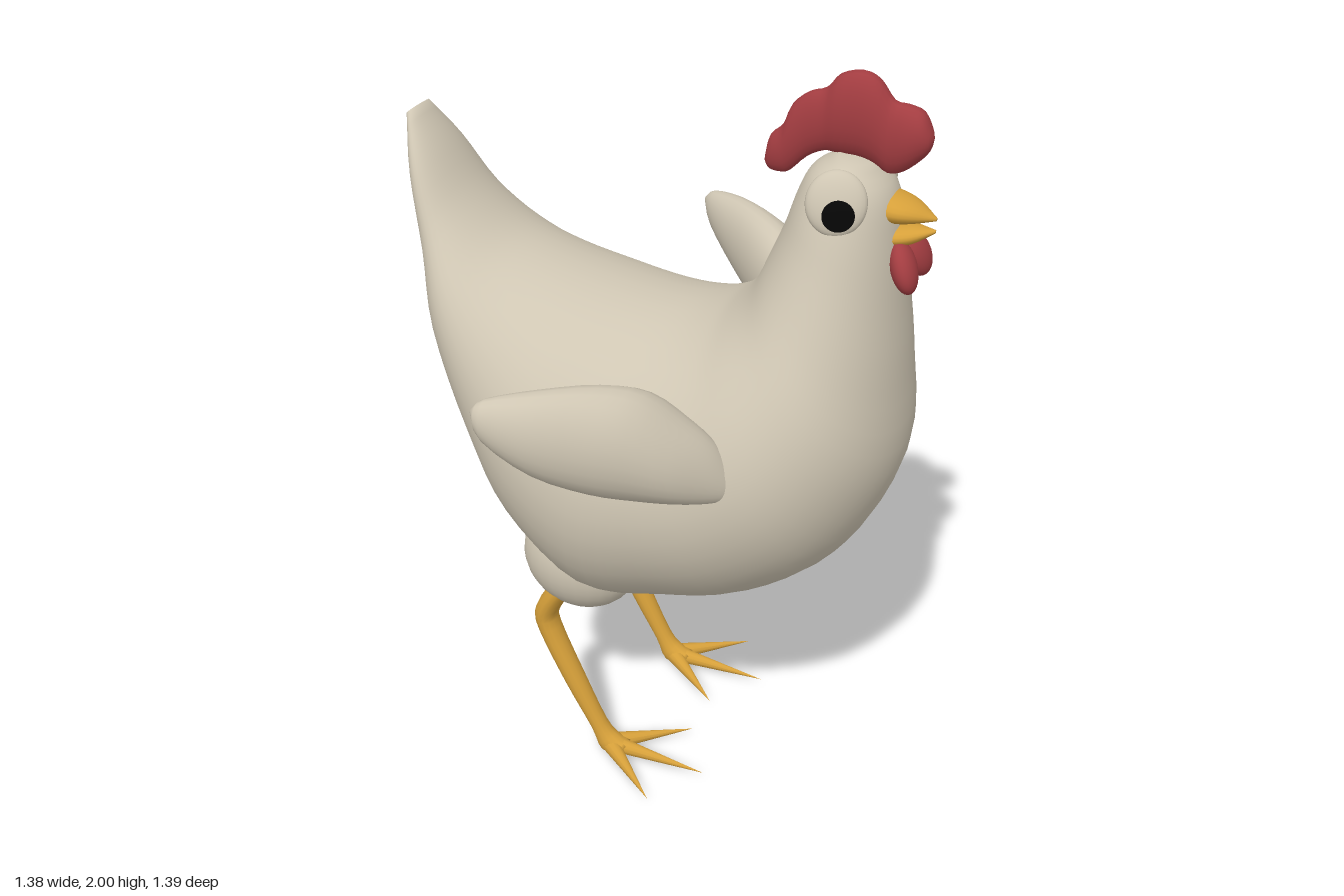
import * as THREE from 'three';

const mat = (name, color) => Object.assign(new THREE.MeshStandardMaterial({ color }), { name });

// Smooth loft through oval rings. Each ring: [ax, ay, bx, by, halfWidth, zCentre],
// where a and b are the two ends of the oval in the xy plane.
function loft(rings, steps = 3, sides = 28) {
  const A = new THREE.CatmullRomCurve3(rings.map(r => new THREE.Vector3(r[0], r[1], r[4])), false, 'catmullrom', 0.5);
  const B = new THREE.CatmullRomCurve3(rings.map(r => new THREE.Vector3(r[2], r[3], r[5] || 0)), false, 'catmullrom', 0.5);
  const n = (rings.length - 1) * steps, pos = [], idx = [], ends = [];
  for (let i = 0; i <= n; i++) {
    const a = A.getPoint(i / n), b = B.getPoint(i / n);
    const cx = (a.x + b.x) / 2, cy = (a.y + b.y) / 2;
    for (let j = 0; j < sides; j++) {
      const t = j / sides * Math.PI * 2, c = Math.cos(t);
      pos.push(cx + (a.x - cx) * c, cy + (a.y - cy) * c, b.z + a.z * Math.sin(t));
    }
    if (i === 0 || i === n) ends.push([cx, cy, b.z]);
  }
  const first = (n + 1) * sides, last = first + 1;
  pos.push(...ends[0], ...ends[1]);
  for (let j = 0; j < sides; j++) {
    const k = (j + 1) % sides;
    for (let i = 0; i < n; i++) {
      const p = i * sides, q = p + sides;
      idx.push(p + j, p + k, q + k, p + j, q + k, q + j);
    }
    idx.push(first, k, j, last, n * sides + j, n * sides + k);
  }
  const g = new THREE.BufferGeometry();
  g.setAttribute('position', new THREE.Float32BufferAttribute(pos, 3));
  g.setIndex(idx);
  g.computeVertexNormals();
  return g;
}

// Ring for parts that run along x: top, bottom, half width, z centre
const slice = (x, top, bottom, w, z = 0) => [x, top, x, bottom, w, z];

export function createModel() {
  const model = new THREE.Group();
  model.name = 'hen';
  const feather = mat('cream feathers', 0xcfc6b3);
  const red = mat('red comb', 0xa33d41);
  const yellow = mat('yellow beak and legs', 0xd6a03a);
  const black = mat('black pupil', 0x060606);

  const add = (name, geometry, material, parent = model) => {
    const m = new THREE.Mesh(geometry, material);
    m.name = name;
    parent.add(m);
    return m;
  };
  const blob = (name, material, p, r, parent) => {
    const m = add(name, new THREE.SphereGeometry(1, 28, 18), material, parent);
    m.position.set(...p);
    m.scale.set(...r);
    return m;
  };

  // Body from the tail tip, round the belly, up to the crown of the head
  add('body', loft([
    [-0.665, 1.757, -0.69, 1.735, 0.05],
    [-0.60, 1.67, -0.665, 1.58, 0.12],
    [-0.52, 1.55, -0.62, 1.38, 0.18],
    [-0.42, 1.46, -0.575, 1.17, 0.26],
    [-0.30, 1.415, -0.46, 0.88, 0.33],
    [-0.15, 1.38, -0.33, 0.67, 0.40],
    [0, 1.36, -0.12, 0.51, 0.43],
    [0.10, 1.36, 0.12, 0.55, 0.435],
    [0.18, 1.385, 0.34, 0.62, 0.42],
    [0.23, 1.42, 0.54, 0.78, 0.39],
    [0.27, 1.47, 0.655, 1.03, 0.325],
    [0.30, 1.54, 0.65, 1.27, 0.255],
    [0.335, 1.63, 0.63, 1.46, 0.20],
    [0.36, 1.71, 0.61, 1.62, 0.16],
    [0.39, 1.77, 0.585, 1.73, 0.12],
    [0.45, 1.808, 0.53, 1.795, 0.06],
  ], 4, 40), feather);

  // Comb
  add('comb', loft([
    slice(0.268, 1.77, 1.75, 0.006), slice(0.28, 1.82, 1.735, 0.02),
    slice(0.31, 1.85, 1.732, 0.028), slice(0.33, 1.90, 1.74, 0.03),
    slice(0.37, 1.935, 1.78, 0.03), slice(0.41, 1.95, 1.80, 0.032),
    slice(0.44, 1.985, 1.80, 0.04), slice(0.49, 2.0, 1.80, 0.042),
    slice(0.53, 1.985, 1.79, 0.04), slice(0.565, 1.943, 1.77, 0.036),
    slice(0.60, 1.937, 1.78, 0.04), slice(0.635, 1.925, 1.81, 0.035),
    slice(0.655, 1.89, 1.835, 0.022), slice(0.662, 1.87, 1.86, 0.005),
  ], 3, 20), red);

  // Beak halves
  add('upperBeak', loft([
    slice(0.55, 1.735, 1.66, 0.065), slice(0.60, 1.725, 1.66, 0.062),
    slice(0.64, 1.71, 1.665, 0.043), slice(0.685, 1.682, 1.674, 0.004),
  ], 4, 20), yellow);
  add('lowerBeak', loft([
    slice(0.55, 1.655, 1.60, 0.06), slice(0.60, 1.655, 1.605, 0.055),
    slice(0.64, 1.655, 1.615, 0.038), slice(0.685, 1.652, 1.644, 0.004),
  ], 4, 20), yellow);

  for (const [side, s] of [['left', -1], ['right', 1]]) {
    // Wattle lobe
    const wattle = blob(side + 'Wattle', red, [0.63, 1.568, s * 0.046], [0.031, 0.064, 0.047]);
    wattle.rotation.set(-s * 0.45, 0, 0.4);

    // Eye: flattened bulge with a thin pupil, facing out, forward and up
    const eye = new THREE.Group();
    eye.name = side + 'Eye';
    eye.position.set(0.487, 1.732, s * 0.129);
    eye.lookAt(0.487 + 0.28, 1.732 + 0.3, s * (0.129 + 0.9));
    model.add(eye);
    blob('eyeball', feather, [0, 0, 0], [0.07, 0.075, 0.026], eye);
    const pupil = blob('pupil', black, [s * 0.006, -0.027, 0.0215], [0.037, 0.036, 0.0045], eye);
    pupil.rotation.x = 0.12;

    // Wing, swept back and away from the body
    add(side + 'Wing', loft([
      [-0.16, 1.335, 1.32, 0.675, 0.66], [-0.13, 1.36, 1.25, 0.697, 0.62],
      [-0.03, 1.375, 1.16, 0.68, 0.53], [0.08, 1.372, 1.10, 0.63, 0.43],
      [0.17, 1.345, 1.075, 0.58, 0.37], [0.25, 1.27, 1.06, 0.52, 0.34],
      [0.31, 1.20, 1.05, 0.45, 0.335], [0.345, 1.13, 1.055, 0.40, 0.345],
      [0.352, 1.10, 1.08, 0.38, 0.36],
    ].map(([x, t, b, o, i]) => slice(x, t, b, (o - i) / 2, s * (o + i) / 2)), 3, 24), feather);

    // Thigh bulge and leg
    blob(side + 'Thigh', feather, [-0.15, 0.63, s * 0.175], [0.165, 0.155, 0.125]);
    const z = s * 0.22;
    add(side + 'Leg', loft([
      [-0.12, 0.55, -0.18, 0.60, 0.042, z],
      [-0.165, 0.515, -0.22, 0.545, 0.042, z],
      [-0.205, 0.45, -0.27, 0.455, 0.04, z],
      [-0.205, 0.395, -0.265, 0.385, 0.037, z],
      [-0.135, 0.24, -0.19, 0.22, 0.031, z],
      [-0.068, 0.10, -0.112, 0.08, 0.026, z],
      [-0.03, 0.06, -0.08, 0.01, 0.032, z],
      [0.0, 0.045, -0.02, 0.008, 0.03, z],
    ], 3, 14), yellow);

    // Three pointed toes
    for (const [tx, dz] of [[0.23, 0], [0.13, 0.155], [0.13, -0.155]]) {
      const from = new THREE.Vector3(-0.06, 0.03, z), to = new THREE.Vector3(tx, 0.022, z + dz);
      const length = from.distanceTo(to);
      const toe = add(side + 'Toe', new THREE.ConeGeometry(0.026, length, 12), yellow);
      toe.position.copy(from).lerp(to, 0.5);
      toe.quaternion.setFromUnitVectors(new THREE.Vector3(0, 1, 0), to.sub(from).normalize());
    }
  }
  return model;
}
